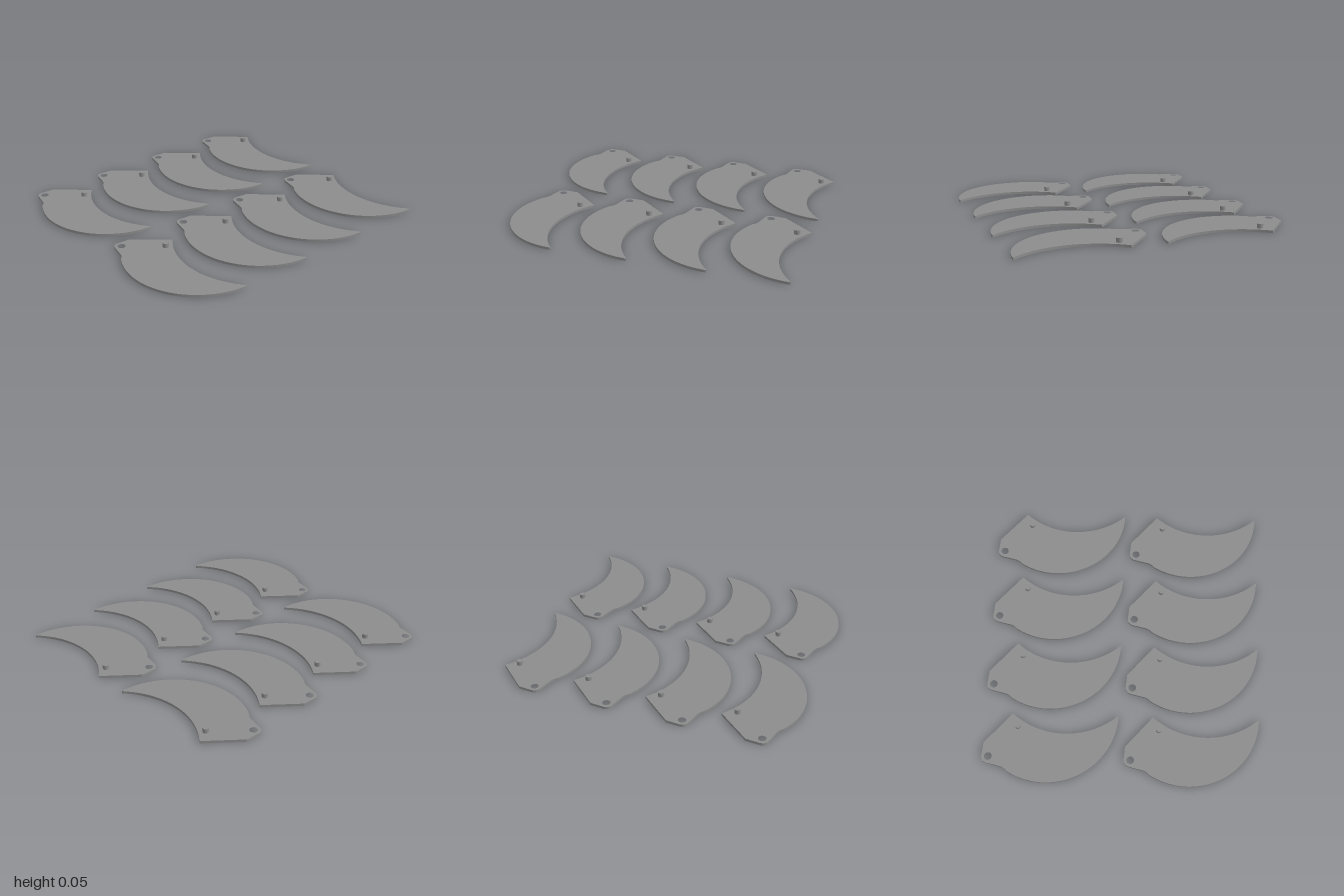
import * as THREE from 'three';
import { toCreasedNormals } from 'three/addons/utils/BufferGeometryUtils.js';

const THICKNESS = 0.017;
const PIN_TOP = 0.047;
const COLUMN_PITCH = 0.96;
const ROW_PITCH = 0.51;

// Curved blade outline with a pivot hole, drawn flat (shape y = -z)
function bladeShape() {
  const s = new THREE.Shape();
  s.moveTo(-0.747, 1.0);
  const inner = Math.atan2(-0.421, 0.359);
  s.absarc(-0.388, 1.421, 0.553, -Math.PI - inner, inner, false); // concave edge
  s.quadraticCurveTo(-0.022, 1.005, -0.023, 0.985); // blunted tip
  s.absarc(-0.51, 1.018, 0.488, -0.068, -2.12, true); // convex edge
  s.quadraticCurveTo(-0.782, 0.622, -0.806, 0.63); // blend into the pivot end
  s.lineTo(-0.902, 0.652);
  s.bezierCurveTo(-0.925, 0.658, -0.942, 0.672, -0.94, 0.7); // rounded pivot corner
  s.lineTo(-0.932, 0.79);
  s.closePath();

  const hole = new THREE.Path();
  hole.absarc(-0.895, 0.697, 0.026, 0, Math.PI * 2, true);
  s.holes.push(hole);
  return s;
}

export function createModel() {
  const group = new THREE.Group();
  group.name = 'bladeSet';
  const grey = new THREE.MeshStandardMaterial({ color: 0x8c8c8c });
  grey.name = 'grey';

  const extruded = new THREE.ExtrudeGeometry(bladeShape(), {
    depth: THICKNESS, bevelEnabled: false, curveSegments: 40,
  });
  extruded.rotateX(-Math.PI / 2);
  const plateGeometry = toCreasedNormals(extruded, 0.5);

  // Guide pin standing on the plate
  const pinHeight = PIN_TOP - THICKNESS;
  const pinGeometry = new THREE.CylinderGeometry(0.02, 0.02, pinHeight, 32);
  pinGeometry.translate(-0.705, THICKNESS + pinHeight / 2, -0.911);

  // Two columns of four identical blades
  for (let column = 0; column < 2; column++) {
    for (let row = 0; row < 4; row++) {
      const blade = new THREE.Group();
      blade.name = `blade${column * 4 + row + 1}`;
      const plate = new THREE.Mesh(plateGeometry, grey);
      plate.name = 'bladePlate';
      const pin = new THREE.Mesh(pinGeometry, grey);
      pin.name = 'guidePin';
      blade.add(plate, pin);
      blade.position.set(column * COLUMN_PITCH, 0, row * ROW_PITCH);
      group.add(blade);
    }
  }
  return group;
}
